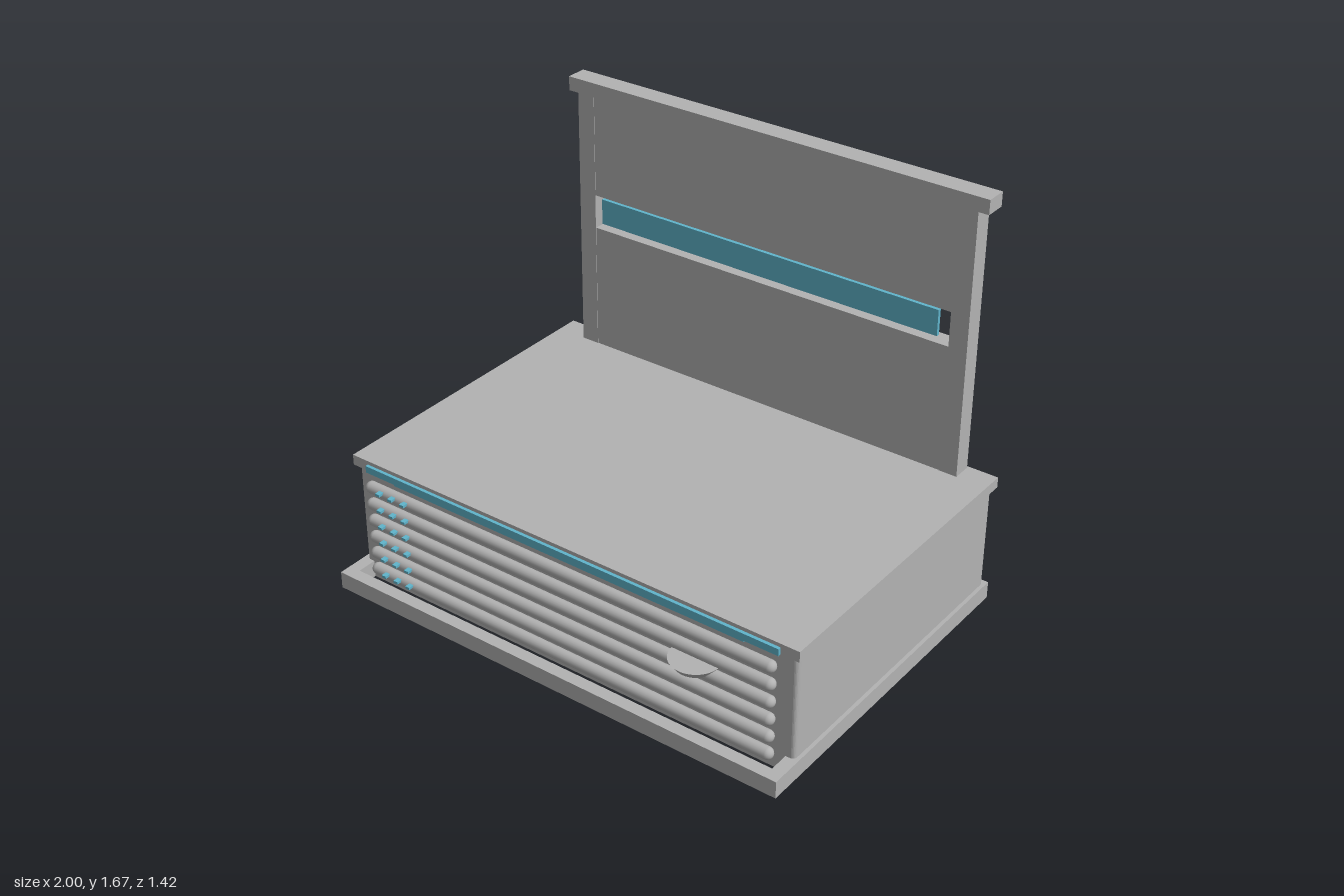
import * as THREE from 'three';

export function createModel() {
  const model = new THREE.Group();
  const grey = new THREE.MeshStandardMaterial({ color: 0xb2b2b2 });
  grey.name = 'stone grey';
  const blue = new THREE.MeshStandardMaterial({ color: 0x60b4cb });
  blue.name = 'light blue';

  const add = (name, geometry, material, x = 0, y = 0, z = 0) => {
    const mesh = new THREE.Mesh(geometry, material);
    mesh.name = name;
    mesh.position.set(x, y, z);
    model.add(mesh);
    return mesh;
  };
  // Box given by its limits on each axis
  const box = (name, material, x0, x1, y0, y1, z0, z1) =>
    add(name, new THREE.BoxGeometry(x1 - x0, y1 - y0, z1 - z0), material,
      (x0 + x1) / 2, (y0 + y1) / 2, (z0 + z1) / 2);
  const rectangle = (Type, x0, x1, y0, y1) => new Type([
    new THREE.Vector2(x0, y0), new THREE.Vector2(x1, y0),
    new THREE.Vector2(x1, y1), new THREE.Vector2(x0, y1)]);

  // Base plate with a long drain slot along the front
  const plate = rectangle(THREE.Shape, -1, 1, -0.71, 0.71);
  plate.holes.push(rectangle(THREE.Path, -0.95, 0.95, -0.66, -0.58));
  const plateGeometry = new THREE.ExtrudeGeometry(plate, { depth: 0.07, bevelEnabled: false });
  add('basePlate', plateGeometry.rotateX(-Math.PI / 2), grey);

  // Body with softly rounded upright edges
  const w = 0.985, front = -0.58, back = 0.695, r = 0.02;
  const outline = new THREE.Shape();
  outline.moveTo(-w + r, front);
  outline.lineTo(w - r, front);
  outline.quadraticCurveTo(w, front, w, front + r);
  outline.lineTo(w, back - r);
  outline.quadraticCurveTo(w, back, w - r, back);
  outline.lineTo(-w + r, back);
  outline.quadraticCurveTo(-w, back, -w, back - r);
  outline.lineTo(-w, front + r);
  outline.quadraticCurveTo(-w, front, -w + r, front);
  const bodyGeometry = new THREE.ExtrudeGeometry(outline,
    { depth: 0.43, bevelEnabled: false, curveSegments: 6 });
  add('body', bodyGeometry.rotateX(-Math.PI / 2), grey, 0, 0.07, 0);

  // Top slab and the blue strip on its front edge
  box('topSlab', grey, -1, 1, 0.497, 0.54, -0.71, 0.595);
  box('frontStrip', blue, -0.925, 0.925, 0.497, 0.525, 0.593, 0.608);
  box('frontStripLip', blue, -0.785, 0.785, 0.49, 0.498, 0.593, 0.606);

  // Upright back wall: posts, two panels with a gap between them, and a cap
  for (const side of [-1, 1]) {
    box('backPost', grey, side * 0.8375 - 0.0375, side * 0.8375 + 0.0375, 0.54, 1.62, -0.7, -0.622);
  }
  box('lowerBackPanel', grey, -0.8, 0.8, 0.54, 1.06, -0.699, -0.624);
  box('upperBackPanel', grey, -0.8, 0.8, 1.2, 1.62, -0.699, -0.624);
  box('backCap', grey, -0.917, 0.917, 1.613, 1.67, -0.706, -0.62);
  box('backStrip', blue, -0.757, 0.757, 1.095, 1.2, -0.625, -0.61);

  // Stack of round-ended rods, each with three small pegs
  const rodGeometry = new THREE.CapsuleGeometry(0.024, 1.792, 6, 20).rotateZ(Math.PI / 2);
  for (let i = 0; i < 6; i++) {
    const y = 0.445 - i * 0.0735;
    add('rod', rodGeometry, grey, 0, y, 0.611);
    for (const x of [-0.83, -0.77, -0.71]) {
      box('peg', blue, x - 0.01, x + 0.01, y + 0.005, y + 0.015, 0.625, 0.653);
    }
  }

  // Half-round tray narrowing towards its underside
  const trayGeometry = new THREE.CylinderGeometry(0.098, 0.076, 0.03, 32, 1, false, -Math.PI / 2, Math.PI);
  add('tray', trayGeometry, grey, 0.585, 0.315, 0.597);
  box('trayBack', grey, 0.51, 0.66, 0.3, 0.33, 0.575, 0.597);

  return model;
}
